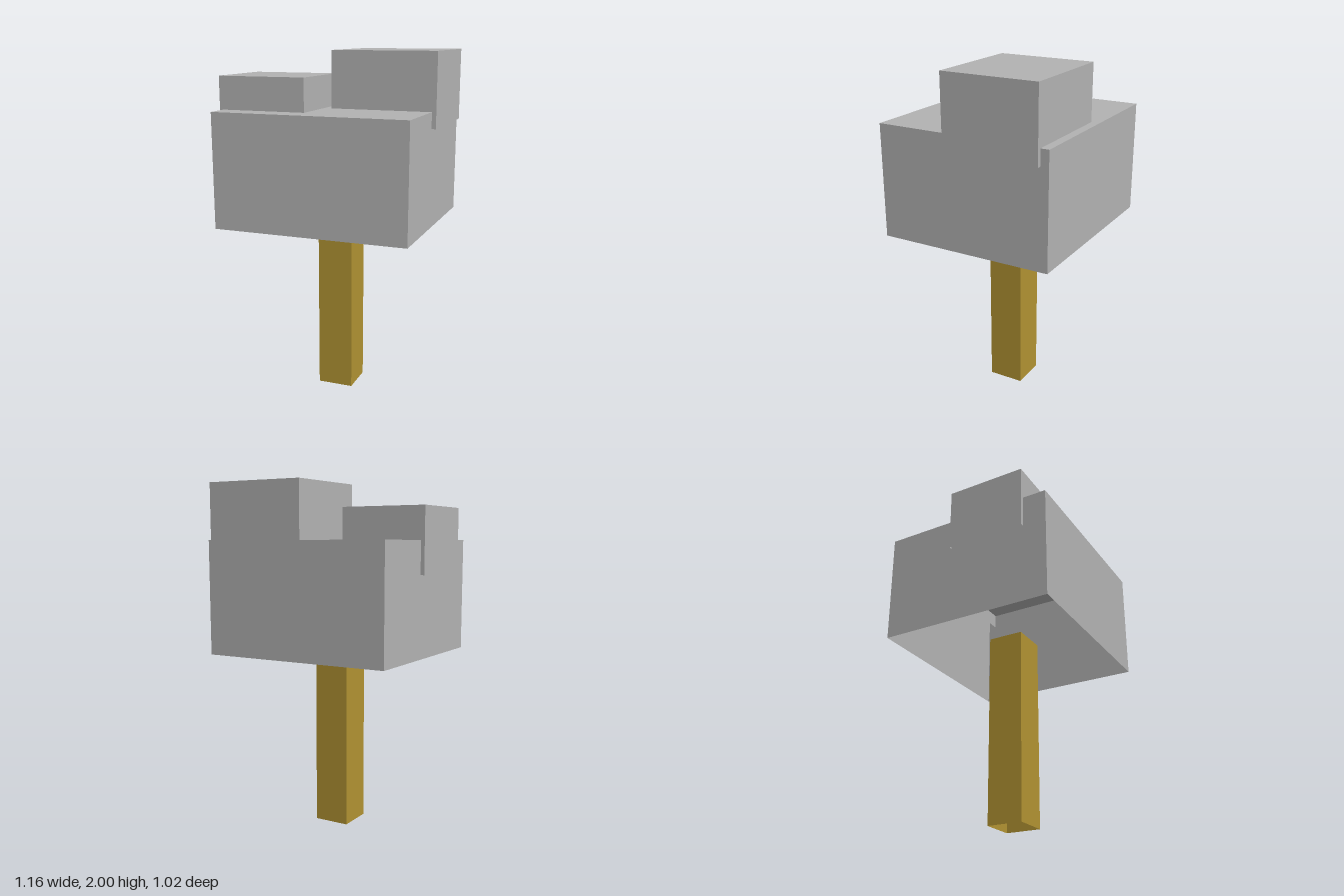
import * as THREE from 'three';

const leafGrey = new THREE.MeshStandardMaterial({ color: 0xb2b2b2, side: THREE.DoubleSide });
leafGrey.name = 'leafGrey';
const trunkOchre = new THREE.MeshStandardMaterial({ color: 0xb09232, side: THREE.DoubleSide });
trunkOchre.name = 'trunkOchre';

// Box given by its min and max corners, hollow and open underneath
function openBox(name, material, min, max) {
  const [w, h, d] = max.map((v, i) => v - min[i]);
  const geometry = new THREE.BoxGeometry(w, h, d);
  const index = Array.from(geometry.index.array);
  index.splice(18, 6); // drop the bottom face
  geometry.setIndex(index);
  geometry.clearGroups();
  const mesh = new THREE.Mesh(geometry, material);
  mesh.name = name;
  mesh.position.set(min[0] + w / 2, min[1] + h / 2, min[2] + d / 2);
  return mesh;
}

export function createModel() {
  const tree = new THREE.Group();
  tree.name = 'blockTree';
  tree.add(
    // Trunk reaches a little way into the crown
    openBox('trunk', trunkOchre, [-0.105, 0, -0.105], [0.103, 1.115, 0.103]),
    // Main crown with two smaller clumps sunk into its top
    openBox('crown', leafGrey, [-0.56, 1.027, -0.513], [0.556, 1.678, 0.508]),
    openBox('smallClump', leafGrey, [-0.582, 1.49, -0.095], [-0.072, 1.863, 0.37]),
    openBox('largeClump', leafGrey, [-0.025, 1.587, -0.465], [0.58, 2, 0.09])
  );
  return tree;
}
